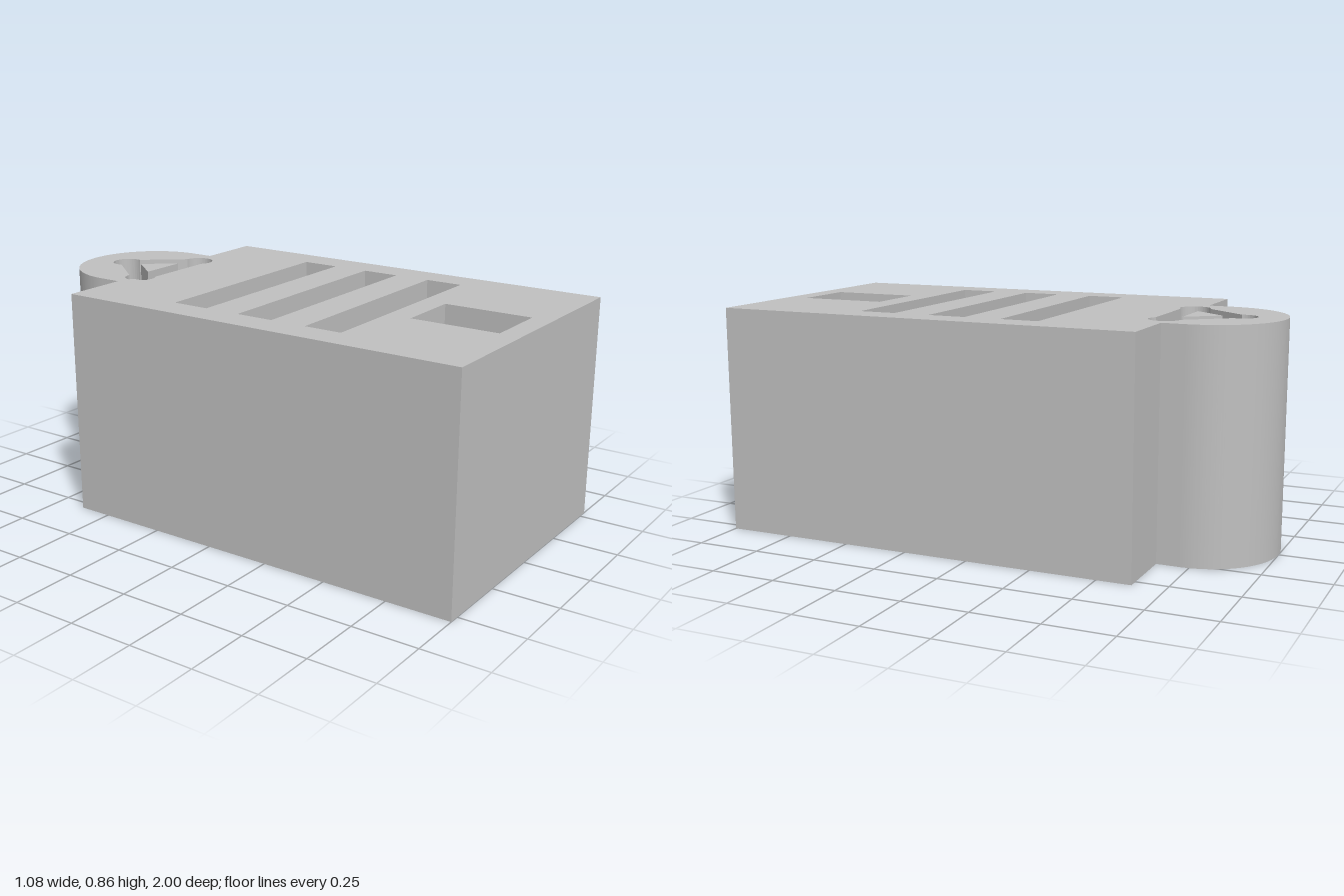
import * as THREE from 'three';
import { mergeGeometries, toCreasedNormals } from 'three/addons/utils/BufferGeometryUtils.js';

const HEIGHT = 0.86, FLOOR = 0.774, SEGMENTS = 48;

// Plans are drawn counter-clockwise with plan x = x and plan y = -z.
function polygon(corners) {
  return new THREE.Shape(corners.map(([x, y]) => new THREE.Vector2(x, y)));
}
function rectangle(halfWidth, zBack, zFront) {
  return polygon([[-halfWidth, -zFront], [halfWidth, -zFront], [halfWidth, -zBack], [-halfWidth, -zBack]]);
}

// Flat face of a plan, facing up at the given height
function face(shape, y) {
  const g = new THREE.ShapeGeometry(shape, SEGMENTS).toNonIndexed();
  g.deleteAttribute('uv');
  return g.rotateX(-Math.PI / 2).translate(0, y, 0);
}

// Upright walls along a plan; inward walls line a recess
function walls(shape, y0, y1, inward = false) {
  const pts = shape.getPoints(SEGMENTS);
  if (inward) pts.reverse();
  const pos = [];
  pts.forEach((a, i) => {
    const b = pts[(i + 1) % pts.length];
    if (a.distanceTo(b) < 1e-6) return;
    pos.push(a.x, y0, -a.y, b.x, y0, -b.y, b.x, y1, -b.y);
    pos.push(a.x, y0, -a.y, b.x, y1, -b.y, a.x, y1, -a.y);
  });
  const g = new THREE.BufferGeometry();
  g.setAttribute('position', new THREE.Float32BufferAttribute(pos, 3));
  g.computeVertexNormals();
  return toCreasedNormals(g, 0.5);
}

export function createModel() {
  const group = new THREE.Group();
  const grey = new THREE.MeshStandardMaterial({ color: 0xc0c0c0 });
  grey.name = 'grey';
  const add = (name, ...parts) => {
    const mesh = new THREE.Mesh(mergeGeometries(parts), grey);
    mesh.name = name;
    group.add(mesh);
  };

  // Block outline with a round lobe at the back
  const outline = () => {
    const s = new THREE.Shape();
    s.moveTo(-0.54, -1).lineTo(0.54, -1).lineTo(0.54, 0.63).lineTo(0.285, 0.63);
    s.lineTo(0.285, 0.715);
    s.absarc(0, 0.715, 0.285, 0, Math.PI, false);
    s.lineTo(-0.285, 0.63).lineTo(-0.54, 0.63);
    return s;
  };

  // Triangular groove with round nodes, around a raised triangle
  const groove = new THREE.Shape();
  groove.absarc(0, 0.836, 0.058, -0.28, Math.PI + 0.28, false);
  groove.absarc(-0.18, 0.608, 0.058, Math.PI / 2, 5.4, false);
  groove.absarc(0.18, 0.608, 0.058, -2.26, Math.PI / 2, false);
  groove.closePath();
  const island = polygon([[-0.093, 0.645], [0.093, 0.645], [0, 0.765]]);

  const recesses = {
    backSlot: rectangle(0.42, -0.23, -0.085),
    middleSlot: rectangle(0.42, 0.055, 0.2),
    frontSlot: rectangle(0.42, 0.34, 0.485),
    squarePocket: rectangle(0.125, 0.58, 0.92),
    triangleGroove: groove,
  };

  // Body shell
  const top = outline();
  top.holes = Object.values(recesses);
  const bottom = face(outline(), 0).rotateZ(Math.PI);
  add('body', walls(outline(), 0, HEIGHT), face(top, HEIGHT), bottom);

  // Recess linings and the raised triangle
  groove.holes = [island];
  for (const [name, shape] of Object.entries(recesses)) {
    add(name, walls(shape, FLOOR, HEIGHT, true), face(shape, FLOOR));
  }
  add('raisedTriangle', walls(island, FLOOR, HEIGHT), face(island, HEIGHT));

  return group;
}
